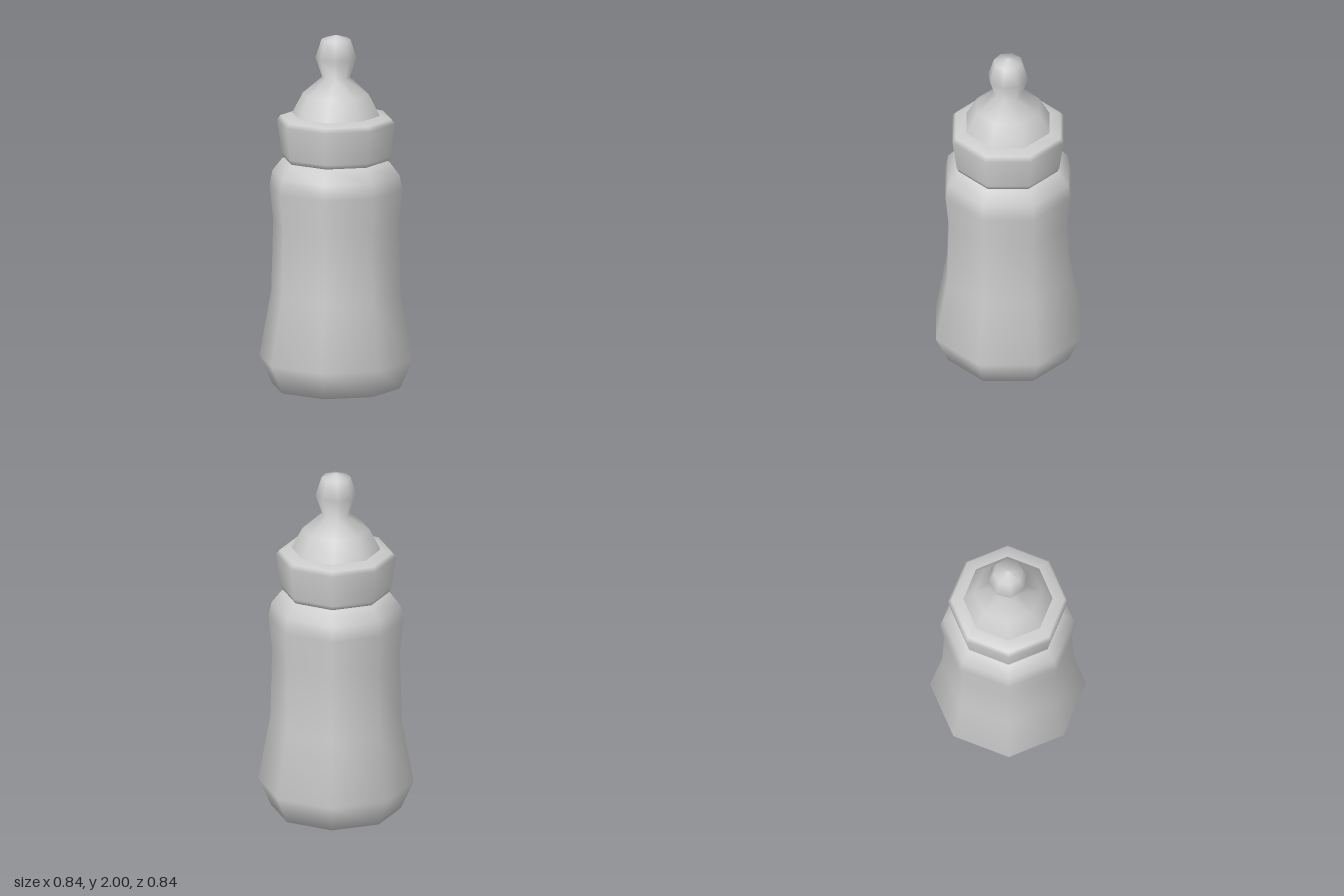
import * as THREE from 'three';

const SIDES = 8;
const TURN = THREE.MathUtils.degToRad(15); // turn of the octagonal sections
const TWIST = THREE.MathUtils.degToRad(7.5); // extra turn of the nipple tip

const material = new THREE.MeshStandardMaterial({ color: 0xcccccc });

// Smooth eight-sided turned part from [radius, height] pairs, listed bottom to top
function turned(name, profile) {
  const points = profile.map(([r, y]) => new THREE.Vector2(r, y));
  const mesh = new THREE.Mesh(new THREE.LatheGeometry(points, SIDES, TURN), material);
  mesh.name = name;
  return mesh;
}

// Rotates the rings above a height about the vertical axis, normals included
function twistAbove(geometry, height, angle) {
  const { position, normal } = geometry.attributes;
  const axis = new THREE.Vector3(0, 1, 0);
  const v = new THREE.Vector3();
  for (let i = 0; i < position.count; i++) {
    if (position.getY(i) < height) continue;
    for (const attribute of [position, normal]) {
      v.fromBufferAttribute(attribute, i).applyAxisAngle(axis, angle);
      attribute.setXYZ(i, v.x, v.y, v.z);
    }
  }
}

export function createModel() {
  const group = new THREE.Group();
  group.name = 'babyBottle';

  // Waisted bottle with a chamfered foot and rounded shoulder
  const bottle = turned('bottle', [
    [0, 0], [0.362, 0], [0.434, 0.16], [0.367, 0.53], [0.356, 0.93],
    [0.377, 1.13], [0.36, 1.215], [0.305, 1.285], [0.25, 1.3],
  ]);

  // Flared screw collar
  const collar = turned('collar', [
    [0.24, 1.295], [0.298, 1.295], [0.309, 1.32], [0.334, 1.505],
    [0.315, 1.53], [0.25, 1.547], [0.2, 1.547],
  ]);

  // Domed nipple with a narrow neck and rounded tip
  const nipple = turned('nipple', [
    [0.25, 1.545], [0.187, 1.665], [0.077, 1.76],
    [0.114, 1.87], [0.081, 1.975], [0, 2],
  ]);
  twistAbove(nipple.geometry, 1.7, TWIST);

  group.add(bottle, collar, nipple);
  return group;
}
